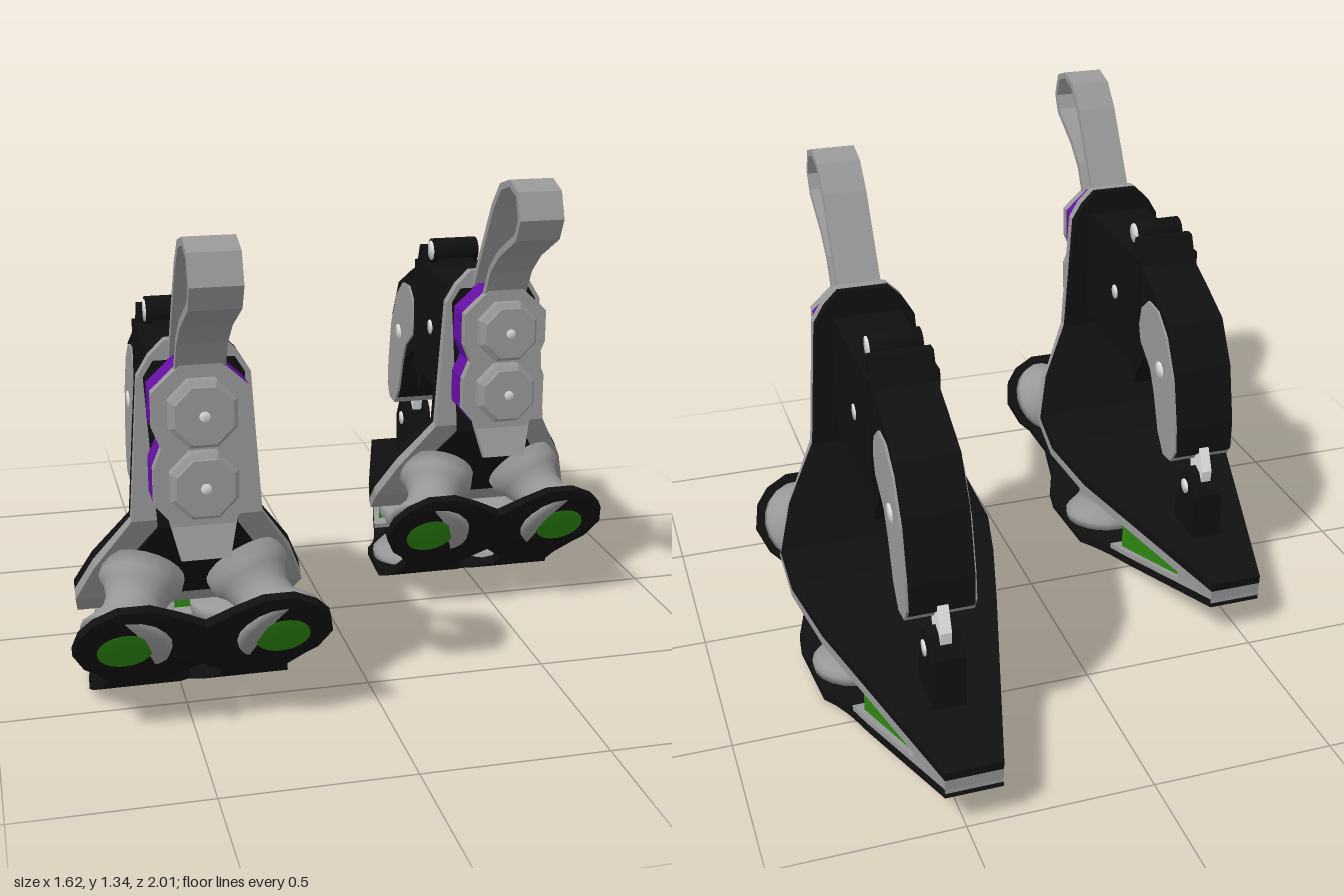
import * as THREE from 'three';

const paint = (name, color) => Object.assign(new THREE.MeshStandardMaterial({ color }), { name });
const V = (x, y, z) => new THREE.Vector3(x, y, z);

// Closed solid from matching rings of points, faceted; corners are ordered so faces look outward
function loft(rings) {
  const tris = [], n = rings[0].length;
  for (let i = 0; i + 1 < rings.length; i++) {
    for (let j = 0; j < n; j++) {
      const k = (j + 1) % n, a = rings[i][j], b = rings[i][k], c = rings[i + 1][k], d = rings[i + 1][j];
      tris.push([a, b, c], [a, c, d]);
    }
  }
  const last = rings[rings.length - 1];
  for (let j = 1; j + 1 < n; j++) {
    tris.push([rings[0][0], rings[0][j + 1], rings[0][j]], [last[0], last[j], last[j + 1]]);
  }
  const volume = tris.reduce((s, [a, b, c]) => s + a.dot(b.clone().cross(c)), 0);
  const pts = tris.flatMap(([a, b, c]) => (volume < 0 ? [a, c, b] : [a, b, c]));
  const g = new THREE.BufferGeometry().setFromPoints(pts);
  g.computeVertexNormals();
  return g;
}

// Plate following rows of [z, y, x0, x1], between offsets t0 and t1 along its front/lower normal
function strip(rows, t0, t1) {
  return loft(rows.map(([z, y, x0, x1], i) => {
    const p = rows[Math.max(0, i - 1)], q = rows[Math.min(rows.length - 1, i + 1)];
    const len = Math.hypot(q[0] - p[0], q[1] - p[1]);
    const nz = -(q[1] - p[1]) / len, ny = (q[0] - p[0]) / len;
    const at = (x, t) => V(x, y + ny * t, z + nz * t);
    return [at(x0, t0), at(x1, t0), at(x1, t1), at(x0, t1)];
  }));
}
const wide = rows => rows.map(([z, y, h]) => [z, y, -h, h]);

// Side outline of [z, y] points, extruded across x
function slab(outline, half) {
  const shape = new THREE.Shape(outline.map(([z, y]) => new THREE.Vector2(z, y)));
  return new THREE.ExtrudeGeometry(shape, { depth: half * 2, bevelEnabled: false })
    .rotateY(-Math.PI / 2).translate(half, 0, 0);
}

// Turned part from a to b; profile holds [radius, fraction of length]
function turned(a, b, profile, sides) {
  const len = a.distanceTo(b), dir = b.clone().sub(a).normalize();
  let g = new THREE.LatheGeometry(profile.map(([r, t]) => new THREE.Vector2(r, t * len)), sides);
  g.rotateY(Math.PI / sides);
  g.applyQuaternion(new THREE.Quaternion().setFromUnitVectors(V(0, 1, 0), dir));
  g.translate(a.x, a.y, a.z);
  if (sides <= 10) {
    g = g.toNonIndexed();
    g.computeVertexNormals();
  }
  return g;
}
const rod = (a, b, r, sides = 16) => turned(a, b, [[0, 0], [r, 0], [r, 1], [0, 1]], sides);

export function createModel() {
  const black = paint('black', 0x101010), grey = paint('grey', 0x989898);
  const purple = paint('purple', 0x660fa3), green = paint('green', 0x2b850f);
  const white = paint('white', 0xe0e0e0);

  function buildUnit() {
    const unit = new THREE.Group();
    const add = (name, mat, geo) => {
      const m = new THREE.Mesh(geo, mat);
      m.name = name;
      unit.add(m);
    };

    // Curved shell: upright back plate running into the tapering deck
    const shell = wide([[.065, 1.04, .07], [.065, 1, .11], [.065, .95, .14], [.065, .58, .165],
      [-.02, .43, .255], [-.1, .315, .3], [-.2, .24, .29], [-.39, .19, .245], [-1, .13, .075]]);
    add('shellFrame', grey, strip(shell, -.03, 0));
    add('shellDeck', black, strip(shell, -.055, -.03));
    add('shellFrontPanel', black, strip(wide([[.065, .99, .1], [.065, .95, .125], [.065, .56, .1],
      [-.02, .43, .18], [-.1, .315, .2]]), -.004, .006));

    // Pull loop
    add('pullLoop', grey, strip(wide([[.06, 1], [.09, 1.05], [.21, 1.25], [.27, 1.315], [.34, 1.335], [.4, 1.315],
      [.425, 1.25], [.4, 1.2], [.27, 1.13], [.2, 1.07], [.155, .99]].map(([z, y]) => [z, y, .061])), -.01, .01));

    // Scalloped spacer and front plate
    const lobes = [[.05, 1.005], [.12, .94], [.12, .85], [.1, .8], [.12, .75], [.12, .66], [.07, .6]];
    const plate = (pts, depth, z) => new THREE.ExtrudeGeometry(
      new THREE.Shape([...pts.map(([x, y]) => new THREE.Vector2(x, y)),
        ...[...pts].reverse().map(([x, y]) => new THREE.Vector2(-x, y))]),
      { depth, bevelEnabled: false }).translate(0, 0, z);
    add('spacer', purple, plate(lobes, .085, .062));
    add('frontPlate', grey, plate(lobes, .03, .145));
    add('plateTongue', grey, strip(wide([[.17, .64, .09], [.175, .6, .08], [.2, .52, .06]]), -.02, 0));
    for (const y of [.89, .71]) {
      add('bolt', grey, turned(V(0, y, .17), V(0, y, .222),
        [[0, 0], [.09, 0], [.09, .6], [.076, .75], [.076, 1], [0, 1]], 8));
      add('boltCentre', white, rod(V(0, y, .22), V(0, y, .226), .013));
    }

    // Main body block, collar and grip
    add('body', black, slab([[.02, .94], [-.01, .975], [-.42, .975], [-.42, .625], [-.01, .625], [.02, .66]], .095));
    add('bodyRail', black, slab([[-.28, .97], [-.3, 1.01], [-.39, 1.025], [-.42, .97]], .055));
    const grip = [[-.37, 1.025], [-.4, 1.025], [-.43, .95], [-.52, .91], [-.64, .85], [-.71, .73], [-.745, .56],
      [-.74, .47], [-.7, .44], [-.62, .46], [-.585, .52], [-.55, .61], [-.46, .67], [-.41, .6],
      [-.385, .55], [-.35, .62], [-.35, .96]];
    add('grip', black, slab(grip, .085));
    add('gripSidePlates', grey, slab([[-.435, .77], [-.45, .83], [-.5, .87], [-.57, .865], [-.64, .81], [-.7, .7],
      [-.73, .56], [-.735, .48], [-.71, .44], [-.65, .435], [-.605, .49], [-.565, .6], [-.53, .665], [-.45, .72]], .092));
    add('topKnob', black, rod(V(-.07, 1.02, -.325), V(.07, 1.02, -.325), .037));
    add('topKnobCaps', white, rod(V(-.073, 1.02, -.325), V(.073, 1.02, -.325), .03));
    add('bodyPin', white, rod(V(-.098, .8, -.24), V(.098, .8, -.24), .022));
    add('gripPin', white, rod(V(-.096, .69, -.605), V(.096, .69, -.605), .027));

    // Heel bracket, link and pin
    add('heelBracket', black, slab([[-.65, .18], [-.65, .27], [-.69, .39], [-.72, .42], [-.75, .41],
      [-.785, .35], [-.785, .16]], .045));
    add('heelLink', white, slab([[-.68, .43], [-.7, .5], [-.735, .5], [-.77, .42], [-.76, .35], [-.7, .35]], .015));
    add('heelPin', white, rod(V(-.049, .355, -.72), V(.049, .355, -.72), .022));

    // Heel wedge between deck and sole
    const block = (z, y0, y1, h) => [V(-h, y0, z), V(h, y0, z), V(h, y1, z), V(-h, y1, z)];
    add('heelCore', green, loft([block(-.54, .04, .2, .17), block(-.85, .09, .17, .095)]));
    add('heelTip', grey, loft([block(-.84, .09, .17, .112), block(-.998, .11, .15, .074)]));

    // Sole, spools and discs, mirrored left and right
    const sole = [[.21, .4, .14, .22], [.2, .37, .07, .28], [.18, .33, 0, .315], [.14, .27, 0, .33],
      [.1, .21, 0, .3], [.08, .185, 0, .27], [.02, .13, .06, .235], [-.06, .075, .07, .24], [-.12, .04, .03, .265],
      [-.17, .02, 0, .27], [-.38, .004, 0, .25], [-.42, .006, .03, .225], [-.47, .012, .03, .205],
      [-.51, .02, 0, .195], [-.6, .035, 0, .175], [-1, .105, 0, .075]];
    const spool = [[0, 0], [.115, 0], [.118, .12], [.105, .2], [.078, .38], [.075, .55],
      [.09, .72], [.108, .82], [.108, 1], [0, 1]];
    for (const s of [1, -1]) {
      const side = rows => rows.map(([z, y, a, b]) => [z, y, s * a, s * b]);
      add('sole', black, strip(side(sole), -.025, 0));
      add('soleRail', grey, strip(side(sole.slice(-3)), -.04, -.025));
      add('frontSpool', grey, turned(V(s * .2, .28, .125), V(s * .13, .41, -.025), spool, 20));
      add('rearSpool', grey, turned(V(s * .14, .03, -.28), V(s * .13, .215, -.27), spool, 20));
      add('frontDisc', green, rod(V(s * .2, .274, .134), V(s * .2, .2675, .1435), .07, 20));
      add('rearDisc', green, rod(V(s * .14, .018, -.28), V(s * .14, .0085, -.2793), .068, 20));
    }
    return unit;
  }

  // Matching pair, one set ahead of the other
  const model = new THREE.Group();
  model.name = 'footPair';
  for (const [name, x, z] of [['leftFoot', .478, 0], ['rightFoot', -.478, .565]]) {
    const unit = buildUnit();
    unit.name = name;
    unit.position.set(x, 0, z);
    model.add(unit);
  }
  return model;
}
